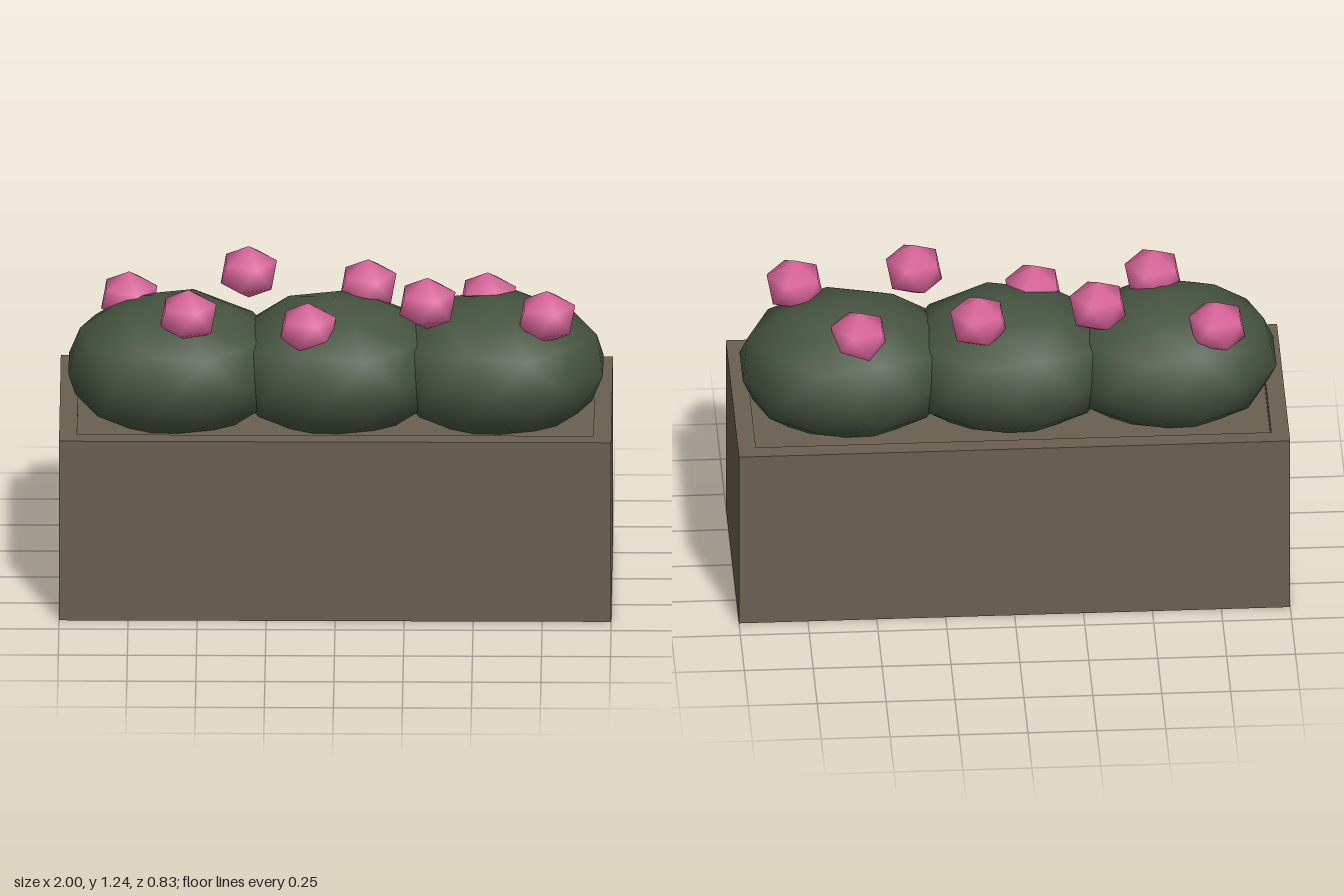
import * as THREE from 'three';
import { mergeVertices } from 'three/addons/utils/BufferGeometryUtils.js';

const material = (name, color) => {
  const m = new THREE.MeshStandardMaterial({ color });
  m.name = name;
  return m;
};

// Smooth-shaded icosphere standing on one of its corners
function icosphere(detail) {
  const g = new THREE.IcosahedronGeometry(1, detail);
  g.rotateZ(-Math.atan(2 / (1 + Math.sqrt(5))));
  g.deleteAttribute('uv');
  g.deleteAttribute('normal');
  const smooth = mergeVertices(g, 1e-4);
  smooth.computeVertexNormals();
  return smooth;
}

const rectangle = (path, x, z) => {
  path.moveTo(-x, -z).lineTo(x, -z).lineTo(x, z).lineTo(-x, z).closePath();
  return path;
};

export function createModel() {
  const model = new THREE.Group();
  model.name = 'flowerPlanter';
  const wood = material('brownWood', 0x6a6051);
  const leaf = material('darkGreenLeaf', 0x455340);
  const petal = material('pinkPetal', 0xdb659a);

  const add = (name, geometry, mat, x = 0, y = 0, z = 0) => {
    const mesh = new THREE.Mesh(geometry, mat);
    mesh.name = name;
    mesh.position.set(x, y, z);
    model.add(mesh);
    return mesh;
  };

  // Box walls with a shallow recess on top
  const outline = rectangle(new THREE.Shape(), 1, 0.415);
  outline.holes.push(rectangle(new THREE.Path(), 0.935, 0.35));
  const walls = new THREE.ExtrudeGeometry(outline, { depth: 0.7, bevelEnabled: false });
  walls.rotateX(-Math.PI / 2);
  add('planterWalls', walls, wood);
  add('planterBed', new THREE.BoxGeometry(1.87, 0.65, 0.7), wood, 0, 0.325, 0);

  // Three overlapping bushes
  const bush = icosphere(1);
  for (const x of [-0.583, 0, 0.583]) {
    add('bush', bush, leaf, x, 0.835, 0).scale.set(0.405, 0.265, 0.332);
  }

  // Blossoms alternating back and front, stepping through three heights
  const blossom = icosphere(0);
  for (let i = 0; i < 8; i++) {
    const x = -0.75 + i * 0.2165;
    const y = 1.035 + (i % 3) * 0.05;
    const z = i % 2 ? 0.15 : -0.15;
    add('blossom', blossom, petal, x, y, z).scale.set(0.114, 0.1, 0.116);
  }
  return model;
}
